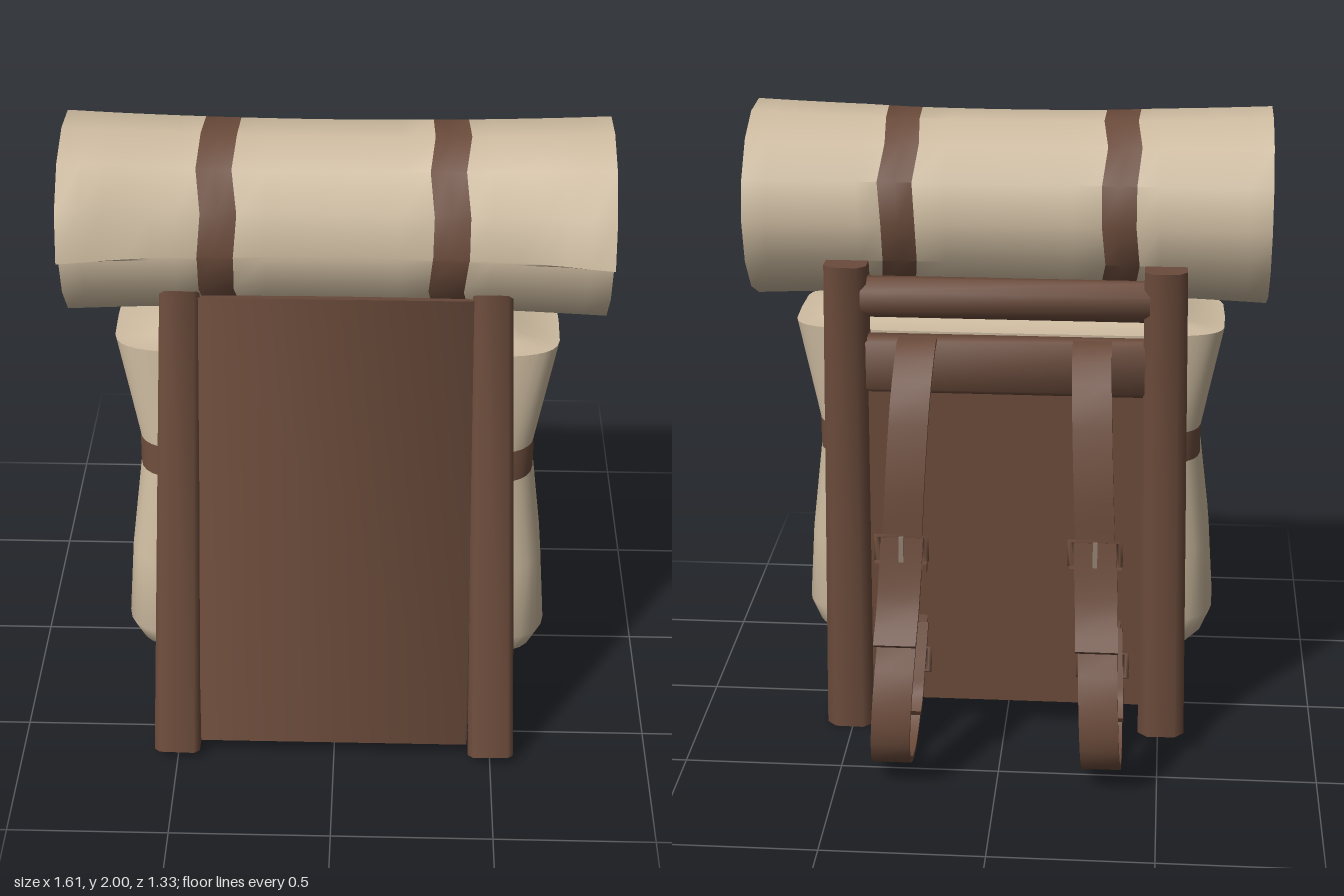
import * as THREE from 'three';
import { toCreasedNormals } from 'three/addons/utils/BufferGeometryUtils.js';

const mat = (name, color) => {
  const m = new THREE.MeshStandardMaterial({ color });
  m.name = name;
  return m;
};

export function createModel() {
  const group = new THREE.Group();
  const brown = mat('brown leather and wood', 0x6b4b3b);
  const cream = mat('cream canvas', 0xcdbba0);
  const metal = mat('dull metal', 0x8f8070);

  const add = (name, geometry, material) => {
    const mesh = new THREE.Mesh(geometry, material);
    mesh.name = name;
    group.add(mesh);
    return mesh;
  };
  const box = (name, w, h, d, x, y, z) => add(name, new THREE.BoxGeometry(w, h, d).translate(x, y, z), brown);

  // Straight bar with chamfered edges from a to b, w across and d deep
  const beam = (name, a, b, w, d, chamfer, taper = 1) => {
    const from = new THREE.Vector3(...a), to = new THREE.Vector3(...b);
    const length = from.distanceTo(to), x = w / 2, y = d / 2, c = chamfer;
    const shape = new THREE.Shape([[x - c, -y], [x, c - y], [x, y - c], [x - c, y], [c - x, y], [-x, y - c], [-x, c - y], [c - x, -y]]
      .map(p => new THREE.Vector2(...p)));
    const geo = new THREE.ExtrudeGeometry(shape, { depth: length, bevelEnabled: false });
    const p = geo.attributes.position;
    for (let i = 0; i < p.count; i++) {
      const s = p.getZ(i) > length / 2 ? taper : 1;
      p.setXY(i, p.getX(i) * s, p.getY(i) * s);
    }
    geo.computeVertexNormals();
    const mesh = add(name, toCreasedNormals(geo, 0.9), brown);
    mesh.position.copy(from);
    mesh.up.set(0, 0, 1);
    mesh.lookAt(to);
  };

  // Band of even thickness following (z, y) points, extruded along x from x0 to x1
  const ribbon = (points, thickness, x0, x1, steps = 1) => {
    const left = [], right = [];
    points.forEach((p, i) => {
      const before = points[Math.max(i - 1, 0)], after = points[Math.min(i + 1, points.length - 1)];
      const t = after.clone().sub(before).normalize();
      const n = new THREE.Vector2(-t.y, t.x).multiplyScalar(thickness / 2);
      left.push(p.clone().add(n));
      right.unshift(p.clone().sub(n));
    });
    const geo = new THREE.ExtrudeGeometry(new THREE.Shape([...left, ...right]), { depth: x1 - x0, steps, bevelEnabled: false });
    return geo.rotateY(-Math.PI / 2).translate(x1, 0, 0);
  };
  const spline = (pts, n) => new THREE.SplineCurve(pts.map(p => new THREE.Vector2(...p))).getPoints(n);

  // Wooden frame
  for (const s of [-1, 1]) {
    beam('frontPost', [s * 0.502, 0.02, 0.617], [s * 0.463, 1.55, 0.325], 0.145, 0.1, 0.018, 0.82);
    beam('backPost', [s * 0.51, 0, -0.17], [s * 0.49, 1.57, -0.17], 0.15, 0.15, 0.03, 0.87);
    box('sideRail', 0.1, 0.12, 0.65, s * 0.485, 0.147, 0.205);
  }
  beam('frontPanel', [0, 0.055, 0.62], [0, 1.53, 0.342], 0.85, 0.035, 0.004);
  beam('topBar', [-0.46, 1.465, -0.18], [0.46, 1.465, -0.18], 0.125, 0.095, 0.034);
  box('backPanel', 0.92, 1.13, 0.04, 0, 0.655, -0.175);
  beam('backPanelRail', [-0.46, 1.25, -0.18], [0.46, 1.25, -0.18], 0.18, 0.07, 0.015);
  box('baseBoard', 0.9, 0.05, 0.66, 0, 0.112, 0.2);

  // Stuffed bag, lofted through levels of [y, half width, front z, back z]
  const loft = levels => {
    const n = 40, pos = [], index = [];
    const soft = v => Math.sign(v) * Math.abs(v) ** 0.35;
    levels.forEach(([y, hx, front, back], i) => {
      for (let a = 0; a < n; a++) {
        const t = a / n * Math.PI * 2, b = (a + 1) % n;
        pos.push(soft(Math.cos(t)) * hx, y, (front + back) / 2 + soft(Math.sin(t)) * (front - back) / 2);
        if (i < levels.length - 1) {
          const k = i * n;
          index.push(k + a, k + n + a, k + b, k + b, k + n + a, k + n + b);
        }
      }
    });
    const geo = new THREE.BufferGeometry();
    geo.setAttribute('position', new THREE.Float32BufferAttribute(pos, 3));
    geo.setIndex(index);
    return toCreasedNormals(geo, 0.7);
  };
  add('bagLower', loft([[0.24, 0.01, 0.17, 0.16], [0.24, 0.6, 0.42, -0.09], [0.28, 0.64, 0.46, -0.105],
    [0.35, 0.67, 0.48, -0.11], [0.6, 0.652, 0.445, -0.11], [0.9, 0.615, 0.4, -0.11]]), cream);
  add('bagBand', loft([[0.9, 0.615, 0.4, -0.11], [1.0, 0.615, 0.385, -0.11]]), brown);
  add('bagUpper', loft([[1.0, 0.615, 0.385, -0.11], [1.33, 0.68, 0.345, -0.11], [1.335, 0.56, 0.27, -0.02],
    [1.36, 0.53, 0.24, 0.02], [1.36, 0.01, 0.14, 0.13]]), cream);

  // Rolled blanket: a stepped spiral that ends in a loose flap at the front
  const spiral = [], perTurn = 14, turns = 3;
  for (let i = 0; i <= perTurn * turns; i++) {
    const turn = Math.min(Math.floor(i / perTurn), turns - 1), f = i / perTurn - turn;
    const r = 0.105 + 0.09 * (turn + THREE.MathUtils.smoothstep(f, 0.7, 1) * (turn === 2 ? 0.5 : 1));
    const a = -i / perTurn * Math.PI * 2;
    spiral.push(new THREE.Vector2(Math.cos(a) * r, Math.sin(a) * r));
  }
  // Flares the ends, presses the flap flat in the middle and makes the band edges uneven
  const shapeRoll = geo => {
    const p = geo.attributes.position;
    for (let i = 0; i < p.count; i++) {
      const x = p.getX(i), y = p.getY(i), z = p.getZ(i), e = (x / 0.8) ** 2;
      const a = Math.atan2(y, z), r = Math.hypot(y, z);
      const press = Math.min(r, 0.305 + 0.045 * e * e) / r;
      const wave = Math.max(0, 1 - Math.abs(Math.abs(x) - 0.34) / 0.2) * 0.012 * Math.sin(5 * a + x);
      const sz = 0.94 + 0.08 * e;
      p.setXYZ(i, x + wave, 1.693 + y * press * (0.945 + 0.06 * e), 0.11 + z * press * sz);
    }
    geo.computeVertexNormals();
    return toCreasedNormals(geo, 0.6);
  };
  const cuts = [-0.805, -0.4, -0.295, 0.28, 0.385, 0.805];
  for (let i = 0; i < 5; i++) {
    const band = i % 2 === 1;
    add(band ? 'rollBand' : 'blanketRoll', shapeRoll(ribbon(spiral, 0.03, cuts[i], cuts[i + 1], band ? 2 : 6)), band ? brown : cream);
  }

  // Shoulder straps with loose ends and buckles, leaning inward towards the top
  const strap = spline([[-0.19, 1.33], [-0.25, 1.325], [-0.36, 1.22], [-0.42, 1.08], [-0.46, 0.92], [-0.48, 0.7],
    [-0.54, 0.48], [-0.62, 0.35], [-0.655, 0.22], [-0.63, 0.12], [-0.55, 0.06], [-0.45, 0.04], [-0.36, 0.07],
    [-0.29, 0.13], [-0.25, 0.22], [-0.215, 0.31], [-0.19, 0.39]], 36);
  const upperTail = spline([[-0.485, 0.79], [-0.51, 0.68], [-0.55, 0.57], [-0.615, 0.485]], 6);
  const lowerTail = spline([[-0.205, 0.37], [-0.24, 0.29], [-0.285, 0.2], [-0.31, 0.15], [-0.36, 0.12]], 6);
  const lean = y => 0.33 - 0.045 * y;
  const strapPiece = (name, path, thickness, width, s) => {
    const geo = ribbon(path, thickness, -width / 2, width / 2);
    const p = geo.attributes.position;
    for (let i = 0; i < p.count; i++) p.setX(i, p.getX(i) + s * lean(p.getY(i)));
    geo.computeVertexNormals();
    add(name, toCreasedNormals(geo, 0.6), brown);
  };
  const buckle = (x, y, z, tilt) => {
    const geo = new THREE.TorusGeometry(0.105, 0.014, 4, 4).rotateZ(Math.PI / 4).scale(1, 0.5, 1);
    add('buckle', geo.rotateX(tilt).translate(x, y, z), brown);
    add('bucklePin', new THREE.BoxGeometry(0.014, 0.08, 0.012).rotateX(tilt).translate(x, y, z - 0.012), metal);
  };
  for (const s of [-1, 1]) {
    strapPiece('shoulderStrap', strap, 0.018, 0.12, s);
    strapPiece('strapTail', upperTail, 0.022, 0.13, s);
    strapPiece('lowerStrapTail', lowerTail, 0.022, 0.13, s);
    box('strapKeeper', 0.16, 0.03, 0.035, s * lean(0.7), 0.7, -0.493);
    buckle(s * lean(0.76), 0.76, -0.49, 0.1);
    buckle(s * lean(0.26), 0.26, -0.25, 0.4);
  }
  return group;
}
